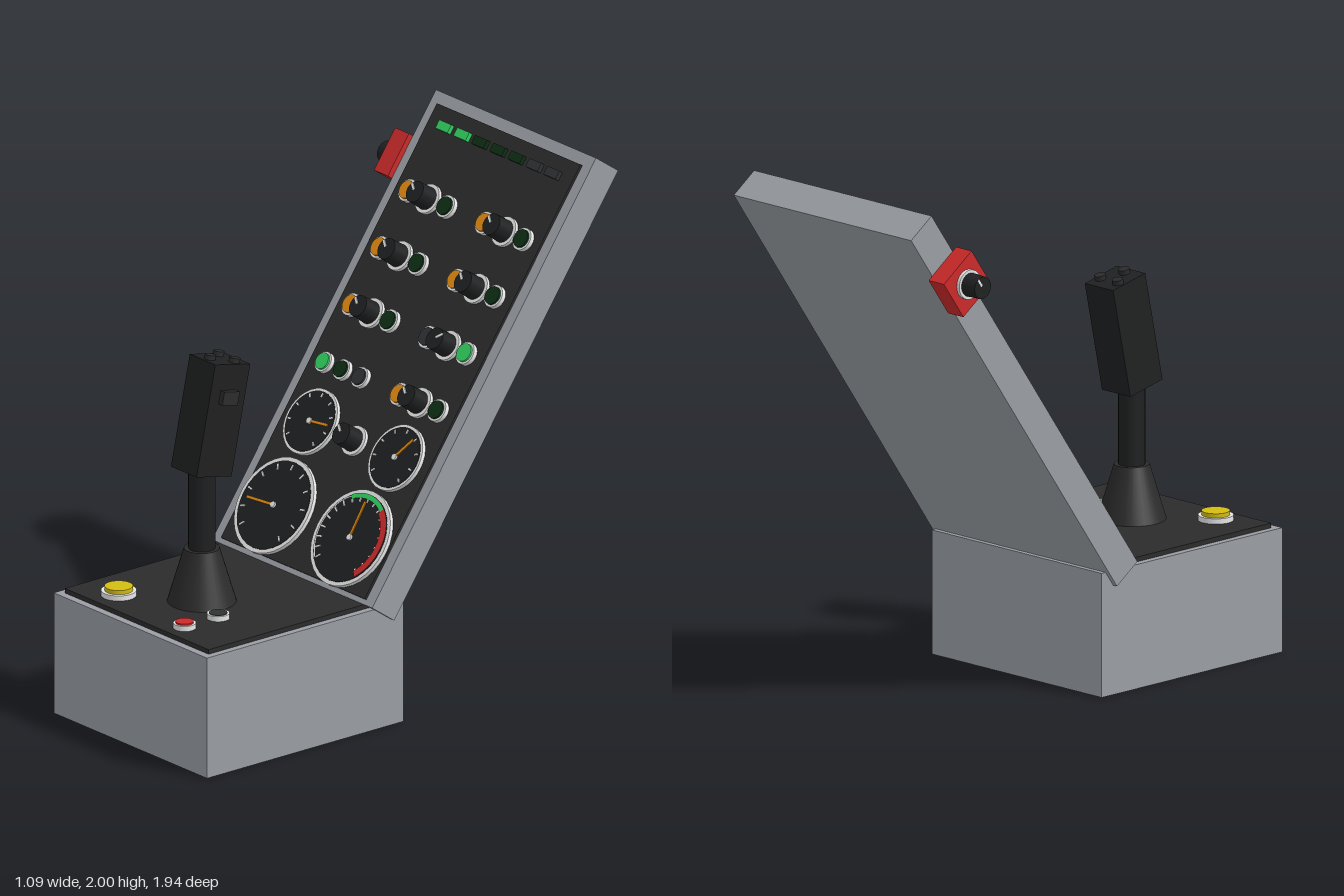
import * as THREE from 'three';

const mat = (name, color) => {
  const m = new THREE.MeshStandardMaterial({ color });
  m.name = name;
  return m;
};

export function createModel() {
  const grey = mat('casing grey', 0x9a9ea4), panelBlack = mat('panel black', 0x2b2b2b);
  const black = mat('control black', 0x1f2021), white = mat('marking white', 0xe8e8e8);
  const red = mat('red', 0xcc2a2a), orange = mat('orange', 0xe08a10);
  const green = mat('lit green', 0x30d060), darkGreen = mat('unlit green', 0x0d2e14);
  const yellow = mat('yellow', 0xd4bc10), off = mat('unlit grey', 0x303234);

  const model = new THREE.Group();
  model.name = 'controlConsole';

  const add = (parent, name, geo, material, x = 0, y = 0, z = 0) => {
    const m = new THREE.Mesh(geo, material);
    m.name = name;
    m.position.set(x, y, z);
    parent.add(m);
    return m;
  };
  const group = (parent, name, x, y, z) => {
    const g = new THREE.Group();
    g.name = name;
    g.position.set(x, y, z);
    parent.add(g);
    return g;
  };
  const box = (w, h, d) => new THREE.BoxGeometry(w, h, d);
  // disc standing on z = 0, facing +z
  const disc = (r, h, rTop = r) =>
    new THREE.CylinderGeometry(rTop, r, h, 32).rotateX(Math.PI / 2).translate(0, 0, h / 2);
  const rad = THREE.MathUtils.degToRad;

  // Controls, each built facing +z
  const lamp = (parent, name, x, y, material, r = 0.044, h = 0.028, z = 0) => {
    const g = group(parent, name, x, y, z);
    add(g, 'bezel', disc(r, 0.02), white);
    add(g, 'lens', disc(r * 0.8, h), material);
    return g;
  };
  // radial bar lying in the xy plane at a given angle
  const bar = (parent, name, material, angle, r0, r1, width, z) => {
    const a = rad(angle), r = (r0 + r1) / 2;
    const m = add(parent, name, box(r1 - r0, width, 0.004), material, Math.cos(a) * r, Math.sin(a) * r, z);
    m.rotation.z = a;
  };
  const knob = (parent, name, x, y, angle) => {
    const g = group(parent, name, x, y, 0);
    add(g, 'dial', disc(0.058, 0.016), white);
    add(g, 'grip', disc(0.045, 0.088, 0.042), black);
    bar(g, 'pointer', white, angle, 0.008, 0.041, 0.009, 0.089);
    return g;
  };
  const gauge = (parent, name, x, y, r, needleAngle, ticks) => {
    const g = group(parent, name, x, y, 0);
    add(g, 'bezel', disc(r, 0.018), white);
    add(g, 'face', disc(r * 0.92, 0.02), black);
    for (let i = 0; i < ticks; i++) {
      bar(g, 'tick', white, 225 - (i * 270) / (ticks - 1), r * 0.74, r * 0.86, 0.006, 0.021);
    }
    bar(g, 'needle', orange, needleAngle, 0, r * 0.76, 0.011, 0.024);
    add(g, 'hub', disc(0.012, 0.008), white, 0, 0, 0.02);
    return g;
  };

  // Base and its top plate
  add(model, 'base', box(0.885, 0.472, 0.935), grey, 0.077, 0.236, 0.5075);
  add(model, 'deckPlate', box(0.83, 0.018, 0.77), panelBlack, 0.077, 0.481, 0.56);

  // Leaning instrument panel
  const panel = group(model, 'instrumentPanel', 0.077, 0.49, 0.205);
  panel.rotation.x = rad(-35.2);
  add(panel, 'panelCase', box(0.925, 1.85, 0.129), grey, 0, 0.925, -0.0645);
  add(panel, 'panelPlate', box(0.83, 1.785, 0.012), panelBlack, 0, 0.912, 0.004);
  const face = group(panel, 'panelControls', 0, 0, 0.008);

  // Status strip
  const strip = [green, green, darkGreen, darkGreen, darkGreen, off, off];
  strip.forEach((m, i) => add(face, 'statusLight', box(0.07, 0.034, 0.022), m, (i - 3) * 0.104, 1.734, 0.008));

  // Rows of lamp, knob, lamp
  const dx = 0.109, left = -0.222, right = 0.22;
  const knobSet = (x, y, a, b, angle) => {
    const g = group(face, 'switchSet', x, y, 0);
    lamp(g, 'leftLamp', -dx, 0, a);
    knob(g, 'selector', 0, 0, angle);
    lamp(g, 'rightLamp', dx, 0, b);
  };
  for (let row = 0; row < 4; row++) {
    const y = 1.466 - row * 0.2345;
    if (row < 3) knobSet(left, y, orange, darkGreen, 140);
    if (row === 2) knobSet(right, y, off, green, 40);
    else knobSet(right, y, orange, darkGreen, 140);
  }
  [green, darkGreen, off].forEach((m, i) => lamp(face, 'gearLamp', left + (i - 1) * 0.105, 0.763, m, 0.04));

  // Gauges
  gauge(face, 'upperLeftGauge', -0.249, 0.542, 0.13, 6, 9);
  gauge(face, 'upperRightGauge', 0.243, 0.542, 0.13, 60, 9);
  gauge(face, 'lowerLeftGauge', -0.222, 0.205, 0.19, 184, 11);
  const speed = gauge(face, 'lowerRightGauge', 0.219, 0.205, 0.19, 93, 19);
  const arc = (name, m, from, to, r0, r1) =>
    add(speed, name, new THREE.RingGeometry(r0, r1, 32, 1, rad(from), rad(to - from)), m, 0, 0, 0.0245);
  arc('redArc', red, -48, 56, 0.146, 0.174);
  arc('greenArc', green, 56, 121, 0.154, 0.174);
  arc('whiteArc', white, 121, 225, 0.163, 0.17);
  knob(face, 'centreKnob', 0, 0.54, 140);

  // Red switch box on the side of the panel
  add(panel, 'sideBox', box(0.08, 0.175, 0.175), red, -0.5025, 1.573, -0.0645);
  const sideKnob = group(panel, 'sideKnob', -0.542, 1.573, -0.0645);
  sideKnob.rotation.y = -Math.PI / 2;
  add(sideKnob, 'dial', disc(0.056, 0.014), white);
  add(sideKnob, 'grip', disc(0.045, 0.08, 0.042), black);
  bar(sideKnob, 'pointer', white, 90, 0.008, 0.041, 0.009, 0.079);

  // Control stick
  const stick = group(model, 'controlStick', 0.077, 0.49, 0.635);
  add(stick, 'boot', new THREE.CylinderGeometry(0.066, 0.128, 0.207, 32), panelBlack, 0, 0.1035, 0);
  add(stick, 'shaft', new THREE.CylinderGeometry(0.05, 0.05, 0.4, 24), black, 0, 0.38, 0);
  const grip = group(stick, 'grip', 0, 0.716, -0.042);
  grip.rotation.x = rad(-12);
  add(grip, 'handle', box(0.148, 0.43, 0.17), black);
  add(grip, 'sideTrigger', box(0.024, 0.052, 0.075), panelBlack, 0.084, 0.09, 0);
  [[-0.046, -0.03], [0.046, -0.03], [0, 0.05]].forEach(([x, z]) =>
    add(grip, 'thumbButton', new THREE.CylinderGeometry(0.021, 0.021, 0.02, 20), panelBlack, x, 0.223, z));

  // Deck buttons, facing up
  const deck = group(model, 'deckButtons', 0, 0.49, 0);
  deck.rotation.x = -Math.PI / 2;
  lamp(deck, 'yellowButton', -0.16, -0.835, yellow, 0.066, 0.036);
  lamp(deck, 'redButton', 0.258, -0.866, red, 0.042, 0.026);
  lamp(deck, 'darkButton', 0.258, -0.706, off, 0.042, 0.022);

  return model;
}
